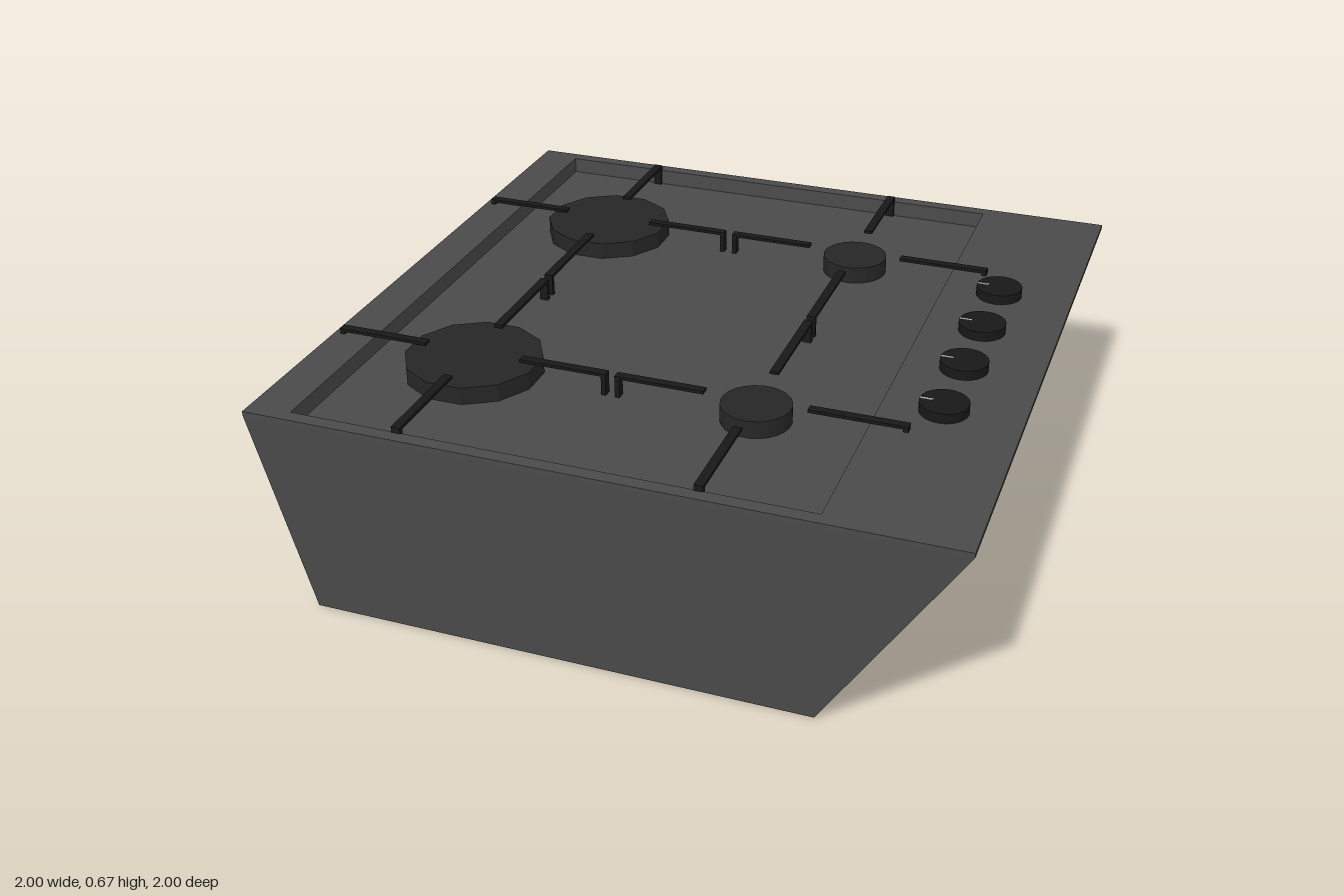
import * as THREE from 'three';

const bodyMat = new THREE.MeshStandardMaterial({ color: 0x4a4a4a, flatShading: true });
const burnerMat = new THREE.MeshStandardMaterial({ color: 0x262626, flatShading: true });
const ironMat = new THREE.MeshStandardMaterial({ color: 0x181818 });
const markMat = new THREE.MeshStandardMaterial({ color: 0xcccccc });

const RIM = 0.64, FLOOR = 0.59, BAR_TOP = 0.657, BAR_H = 0.009, BAR_W = 0.026;

// Tapered shell: rectangular cross-sections [x0, x1, z half-width, y] joined in order
function loftRects(rects) {
  const pos = [];
  const loops = rects.map(([x0, x1, z, y]) => [[x0, y, z], [x1, y, z], [x1, y, -z], [x0, y, -z]]);
  const quad = (a, b, c, d) => pos.push(...a, ...b, ...c, ...a, ...c, ...d);
  for (let i = 0; i < loops.length - 1; i++) {
    for (let k = 0; k < 4; k++) {
      const n = (k + 1) % 4;
      quad(loops[i][k], loops[i][n], loops[i + 1][n], loops[i + 1][k]);
    }
  }
  const [a, b, c, d] = loops[0];
  quad(a, d, c, b);
  quad(...loops[loops.length - 1]);
  const geo = new THREE.BufferGeometry();
  geo.setAttribute('position', new THREE.Float32BufferAttribute(pos, 3));
  geo.computeVertexNormals();
  return geo;
}

function add(parent, name, geo, mat, x = 0, y = 0, z = 0) {
  const mesh = new THREE.Mesh(geo, mat);
  mesh.name = name;
  mesh.position.set(x, y, z);
  parent.add(mesh);
  return mesh;
}

// One pan-support finger along +x, from inner to outer, with a foot at the outer end
function supportFinger(inner, outer, footY) {
  const g = new THREE.Group();
  g.name = 'supportFinger';
  add(g, 'bar', new THREE.BoxGeometry(outer - inner, BAR_H, BAR_W), ironMat,
    (inner + outer) / 2, BAR_TOP - BAR_H / 2, 0);
  const h = BAR_TOP - BAR_H - footY;
  add(g, 'foot', new THREE.BoxGeometry(0.014, h, BAR_W), ironMat, outer - 0.007, footY + h / 2, 0);
  return g;
}

export function createModel() {
  const hob = new THREE.Group();
  hob.name = 'hob';

  // Housing with a thin rim and a sunken cooking tray
  add(hob, 'housing', loftRects([
    [-0.87, 0.61, 0.96, 0],
    [-1, 1, 1, 0.627],
    [-1, 1, 1, RIM],
    [-0.875, 0.61, 0.96, RIM],
    [-0.875, 0.61, 0.96, FLOOR],
  ]), bodyMat);

  // Four burners, each with four support fingers
  for (const sz of [-1, 1]) {
    for (const { x, r, sides, large } of [
      { x: -0.555, r: 0.2, sides: 12, large: true },
      { x: 0.292, r: 0.1, sides: 24, large: false },
    ]) {
      const station = new THREE.Group();
      station.name = large ? 'largeBurner' : 'smallBurner';
      station.position.set(x, 0, sz * 0.502);
      hob.add(station);

      const cap = add(station, 'burnerCap', new THREE.CylinderGeometry(r, r, 0.052, sides), burnerMat, 0, FLOOR + 0.026, 0);
      cap.rotation.y = Math.PI / sides;

      // Fingers reach the rim on the outside and the tray floor on the inside
      for (let k = 0; k < 4; k++) {
        const alongX = k % 2 === 0;
        const onRim = alongX ? (k === 0) !== large : (k === 3) === (sz > 0);
        const outer = alongX ? (large === (k === 2) ? 0.425 : 0.41) : (onRim ? 0.462 : 0.49);
        const finger = supportFinger(alongX ? 0.148 : 0.158, outer, onRim ? (alongX ? RIM : FLOOR) : FLOOR);
        finger.rotation.y = k * Math.PI / 2;
        station.add(finger);
      }
    }
  }

  // Control knobs with pointer marks
  for (const z of [-0.375, -0.125, 0.12, 0.37]) {
    const knob = new THREE.Group();
    knob.name = 'knob';
    knob.position.set(0.78, RIM, z);
    add(knob, 'knobBody', new THREE.CylinderGeometry(0.069, 0.069, 0.029, 24), ironMat, 0, 0.0145, 0);
    add(knob, 'pointerMark', new THREE.BoxGeometry(0.036, 0.002, 0.006), markMat, -0.05, 0.029, 0);
    hob.add(knob);
  }

  return hob;
}
